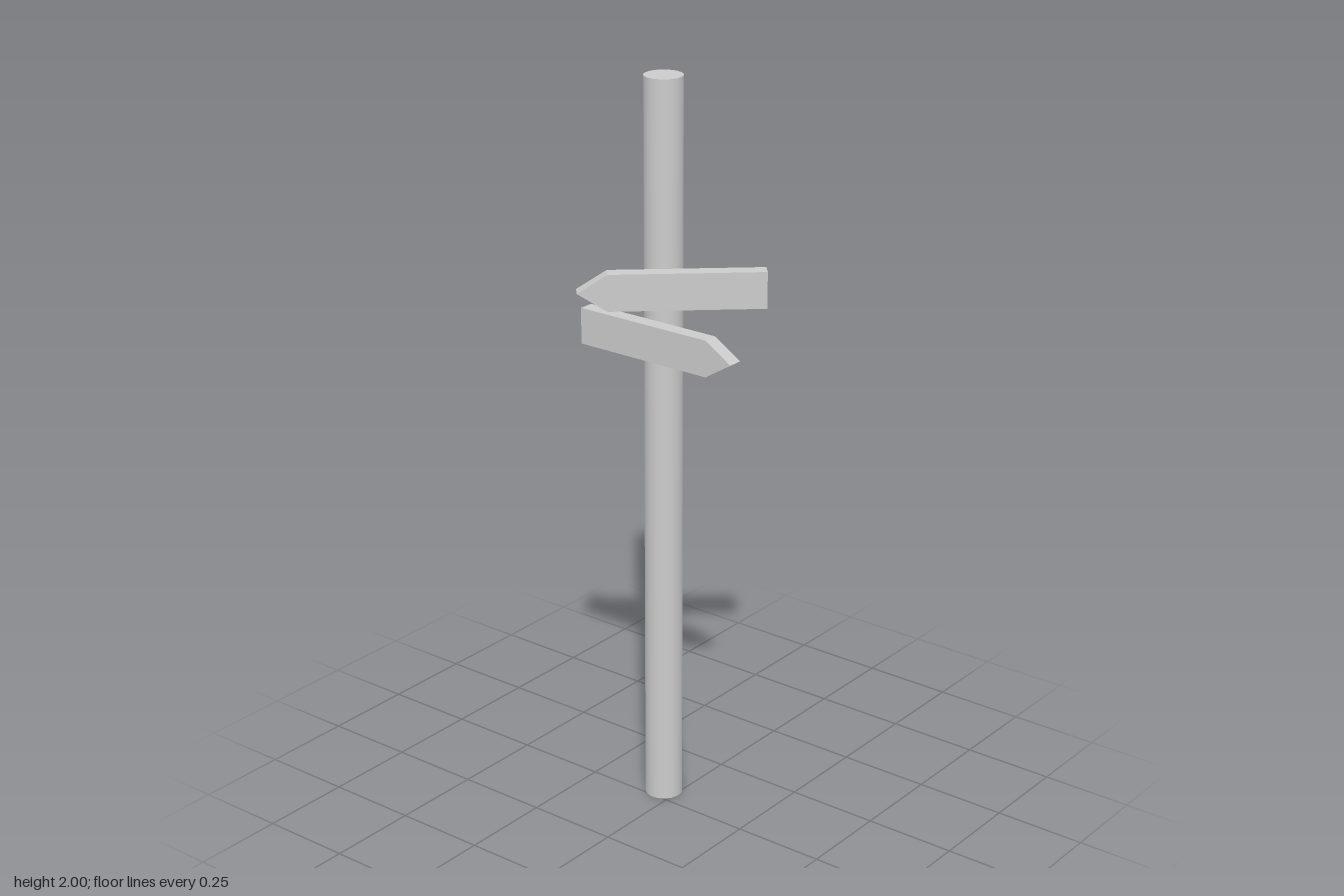
import * as THREE from 'three';

const material = new THREE.MeshStandardMaterial({ color: 0xcccccc });

// Board centred on its own origin, pointing along +x
function makeSign(name, x, y, z, turn) {
  const length = 0.478, height = 0.097, depth = 0.04, tip = 0.077;
  const l = length / 2, h = height / 2;
  const outline = new THREE.Shape([
    new THREE.Vector2(-l, -h),
    new THREE.Vector2(l - tip, -h),
    new THREE.Vector2(l, 0),
    new THREE.Vector2(l - tip, h),
    new THREE.Vector2(-l, h),
  ]);
  const geometry = new THREE.ExtrudeGeometry(outline, { depth, bevelEnabled: false });
  geometry.translate(0, 0, -depth / 2);
  const sign = new THREE.Mesh(geometry, material);
  sign.name = name;
  sign.position.set(x, y, z);
  sign.rotation.y = turn;
  return sign;
}

export function createModel() {
  const model = new THREE.Group();
  model.name = 'signpost';

  // Round post
  const post = new THREE.Mesh(new THREE.CylinderGeometry(0.05, 0.05, 2, 64), material);
  post.name = 'post';
  post.position.set(-0.04, 1, -0.041);
  model.add(post);

  // Two arrow boards, the upper one swung round to point forward and right
  model.add(makeSign('lowerSign', 0, 1.329, 0.028, 0));
  model.add(makeSign('upperSign', 0.0175, 1.467, -0.001, Math.atan2(-0.316, -0.358)));

  return model;
}
